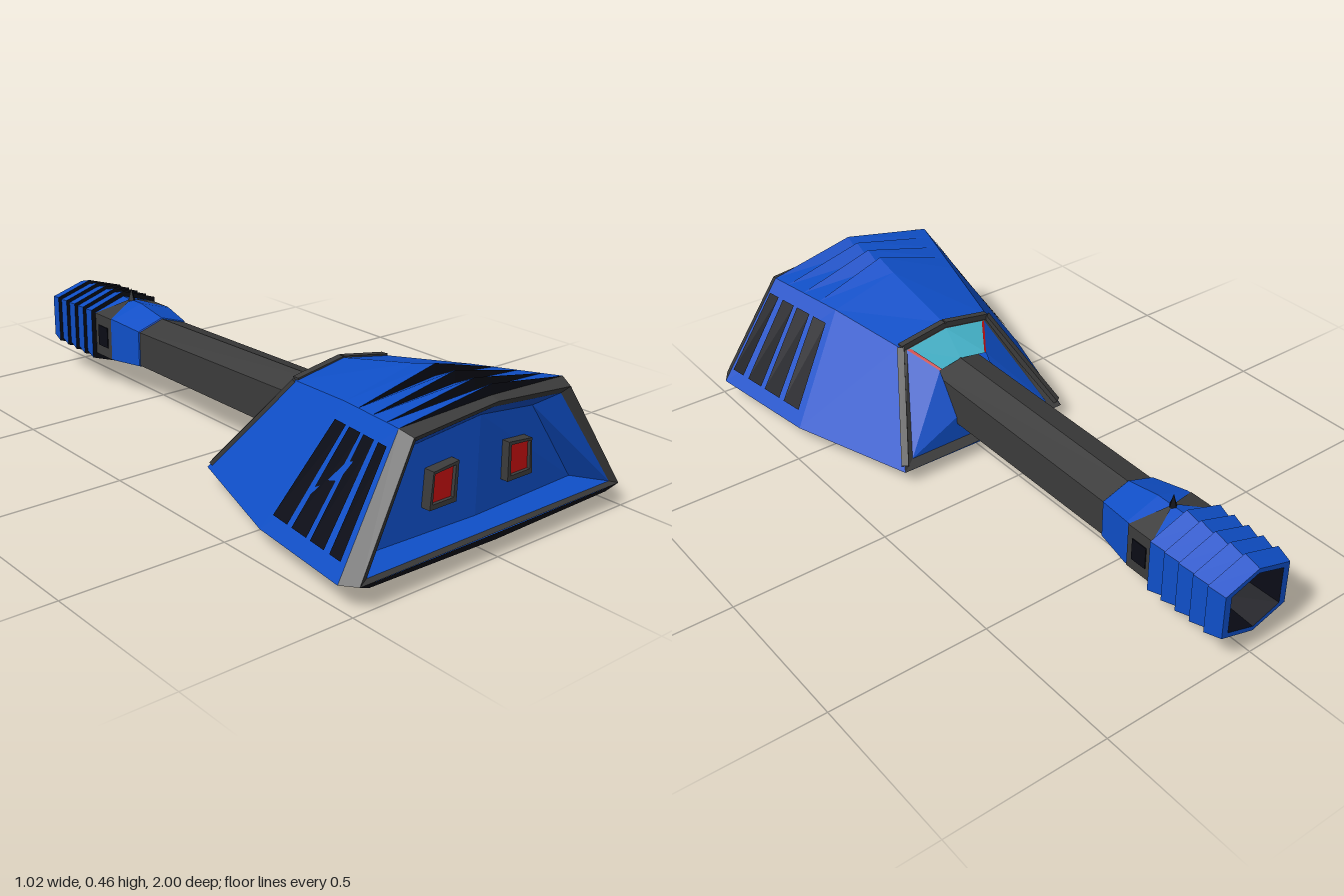
import * as THREE from 'three';

const mat = (color) => new THREE.MeshStandardMaterial({ color, flatShading: true, side: THREE.DoubleSide });
const BLUE = mat(0x0f4fc8), GREY = mat(0x3c3c3c), BLACK = mat(0x0a0c16), RED = mat(0xc81010), CYAN = mat(0x45b5cc);

const flip = ([x, y, z]) => [-x, y, z];
const lerp = (a, b, t) => a.map((v, i) => v + (b[i] - v) * t);

// mesh from a list of convex polygons
function panels(name, material, polys) {
  const pos = [];
  for (const p of polys)
    for (let i = 1; i < p.length - 1; i++) pos.push(...p[0], ...p[i], ...p[i + 1]);
  const g = new THREE.BufferGeometry();
  g.setAttribute('position', new THREE.Float32BufferAttribute(pos, 3));
  g.computeVertexNormals();
  const m = new THREE.Mesh(g, material);
  m.name = name;
  return m;
}
// polygons plus their mirror images across x = 0
const both = (polys) => [...polys, ...polys.map((p) => p.map(flip).reverse())];
// quads joining two closed loops
const band = (a, b) => a.map((p, i) => {
  const j = (i + 1) % a.length;
  return [p, a[j], b[j], b[i]];
});
// half outline (right bottom, right top, centre top) to a full loop
const loop = (h) => [h[0], h[1], h[2], flip(h[1]), flip(h[0])];
// upright hexagon section at z
function hex(z, w, bottom, top) {
  const c = (top + bottom) / 2, s = (top - bottom) * 0.33;
  return [[0, top, z], [-w, c + s, z], [-w, c - s, z], [0, bottom, z], [w, c - s, z], [w, c + s, z]];
}
const loft = (sections) => sections.slice(1).flatMap((s, i) => band(sections[i], s));

// square bar between two points
function bar(name, a, b, t) {
  const A = new THREE.Vector3(...a), B = new THREE.Vector3(...b);
  const m = new THREE.Mesh(new THREE.BoxGeometry(t, t, A.distanceTo(B)), GREY);
  m.position.copy(A).lerp(B, 0.5);
  m.lookAt(B);
  m.name = name;
  return m;
}

// shared corners of the head
const FB = [0.51, 0.07, 0.955], FT = [0.298, 0.405, 0.925];
const MB = [0.445, 0.052, 0.58], MT = [0.232, 0.38, 0.66];
const RB = [0.31, 0.05, 0.17], RT = [0.17, 0.345, 0.39];
const RC = [0, 0.375, 0.39];

function buildHead() {
  const head = new THREE.Group();
  head.name = 'head';

  // sides and floor
  head.add(panels('sidePanels', BLUE, both([[FB, MB, MT, FT], [MB, RB, RT, MT]])));
  const lip = [0.44, 0.055, 0.99], c = (z) => [0, 0.046, z];
  head.add(panels('floor', BLUE, both([
    [RB, MB, c(0.58), c(0.17)], [MB, FB, lip, c(0.99), c(0.58)],
  ])));

  // side vents
  const vents = [[0.04, 0.18], [0.25, 0.43], [0.48, 0.68], [0.74, 0.94]].map(([u0, u1]) => {
    const at = (u, v) => {
      const p = lerp(lerp(FB, MB, u), lerp(FT, MT, u), v);
      return [p[0] + 0.005, p[1] + 0.003, p[2] - 0.001];
    };
    return [at(u0, 0.13), at(u1, 0.13), at(u1, 0.87), at(u0, 0.87)];
  });
  head.add(panels('sideVents', BLACK, both(vents)));

  // roof: louvres peak at their front edge and end in the long rear slope
  const edge = (z) => (z > MT[2] ? lerp(MT, FT, (z - MT[2]) / (FT[2] - MT[2])) : lerp(RT, MT, (z - RT[2]) / (MT[2] - RT[2])));
  const peaks = [0.945, 0.888, 0.82, 0.75];
  const roof = [], steps = [];
  peaks.forEach((z, i) => {
    const e = edge(Math.min(z - 0.02, 0.925));
    const top = [0, 0.457, z], low = [0, 0.422, z];
    steps.push([e, top, low]);
    if (i < 3) {
      const zn = peaks[i + 1];
      roof.push([e, edge(zn - 0.02), [0, 0.422, zn], top]);
    } else {
      roof.push([e, MT, [0, 0.435, 0.67], top], [MT, RT, RC, [0, 0.435, 0.67]]);
    }
  });
  head.add(panels('roof', BLUE, both(roof)), panels('roofLouvreSteps', BLACK, both(steps)));

  // front rim, recess and face
  const outer = loop([FB, FT, [0, 0.43, 0.935]]);
  const front = loop([[0.48, 0.073, 1.0], [0.285, 0.39, 0.965], [0, 0.417, 0.97]]);
  const inner = loop([[0.45, 0.083, 0.99], [0.265, 0.372, 0.95], [0, 0.398, 0.955]]);
  const face = loop([[0.39, 0.085, 0.9], [0.215, 0.335, 0.9], [0, 0.365, 0.915]]);
  head.add(panels('frontRim', GREY, [...band(outer, front), ...band(front, inner)]));
  head.add(panels('faceRecess', BLUE, band(inner, face)));
  head.add(panels('face', BLUE, both([[face[0], face[1], face[2], [0, 0.085, 0.915]]])));
  head.add(panels('lowerLip', BLACK, both([[FB, front[0], lip], [front[0], [0, 0.071, 1], c(0.99), lip]])));

  // eyes in raised tapered frames
  const eye = (pts, z) => pts.map(([x, y]) => [x, y, z]);
  const base = [[0.095, 0.16], [0.19, 0.16], [0.181, 0.263], [0.092, 0.272]];
  const hole = [[0.106, 0.174], [0.18, 0.174], [0.176, 0.256], [0.102, 0.262]];
  const b0 = eye(base, 0.895), b1 = eye(base, 0.935), h1 = eye(hole, 0.935), h0 = eye(hole, 0.925);
  head.add(panels('eyeFrames', GREY, both([...band(b0, b1), ...band(b1, h1), ...band(h1, h0)])));
  head.add(panels('eyes', RED, both([h0])));

  // rear face bulging towards the neck, with a window above it
  const p1 = [0.265, 0.07, 0.195], p2 = [0.15, 0.335, 0.375], p3 = [0.09, 0.28, 0.285], p4 = [0.09, 0.15, 0.2];
  head.add(panels('rearPanels', BLUE, both([[p1, p4, p3], [p1, p3, p2], [p1, [0, 0.07, 0.195], [0, 0.15, 0.2], p4]])));
  head.add(panels('rearWindow', CYAN, both([[p2, p3, [0, 0.285, 0.3], [0, 0.36, 0.375]]])));
  const in2 = [0.138, 0.337, 0.371], in3 = [0.082, 0.284, 0.283];
  head.add(panels('windowEdges', RED, both([[p2, p3, in3, in2]])));
  head.add(panels('rearFrame', GREY, both([
    [RB, RT, p2, p1], [RT, RC, [0, 0.36, 0.375], p2], [RB, p1, [0, 0.07, 0.195], [0, 0.05, 0.17]],
  ])));
  for (const f of [(p) => p, flip]) {
    head.add(bar('rearEdgeTrim', f([0.3, 0.062, 0.185]), f([0.165, 0.342, 0.388]), 0.022));
    head.add(bar('roofEdgeTrim', f([0.165, 0.342, 0.388]), [0, 0.37, 0.388], 0.022));
  }

  // open nozzle under the floor
  const ring = (y, w, z0, z1) => [[-w, y, z1], [0, y, z1 + 0.012], [w, y, z1], [w, y, z0], [-w, y, z0]];
  const n0 = ring(0.06, 0.125, 0.345, 0.6), n1 = ring(0, 0.11, 0.36, 0.578);
  const n2 = ring(0, 0.1, 0.37, 0.568), n3 = ring(0.04, 0.085, 0.385, 0.55);
  head.add(panels('underNozzle', BLACK, [...loft([n0, n1, n2, n3]), n3]));
  return head;
}

function buildTail() {
  const tail = new THREE.Group();
  tail.name = 'tail';
  tail.add(panels('neck', GREY, loft([hex(0.36, 0.09, 0.095, 0.288), hex(-0.52, 0.09, 0.095, 0.268)])));

  // flared collar
  const mid = hex(-0.62, 0.113, 0.078, 0.293), end = hex(-0.73, 0.113, 0.078, 0.293);
  tail.add(panels('collar', BLUE, loft([hex(-0.495, 0.088, 0.097, 0.266), hex(-0.5, 0.093, 0.092, 0.272), mid, end])));

  // grey collar inlays, side ports and top spike
  const top = mid[5][1], low = mid[4][1], z0 = -0.63, z1 = -0.725, zc = -0.678;
  tail.add(panels('collarInlays', GREY, both([
    [[0.116, top, z0], [0.116, top, z1], [0, 0.297, zc]],
    [[0.116, low, z0], [0.116, low, z1], [0, 0.074, zc]],
    [[0.116, top, z0], [0.116, low, z0], [0.116, low, z1], [0.116, top, z1]],
  ])));
  for (const s of [-1, 1]) {
    const port = new THREE.Mesh(new THREE.BoxGeometry(0.01, 0.07, 0.055), BLACK);
    port.position.set(s * 0.114, 0.185, zc);
    port.name = 'sidePort';
    tail.add(port);
  }
  const spike = new THREE.Mesh(new THREE.ConeGeometry(0.018, 0.055, 4), BLACK);
  spike.position.set(0, 0.305, zc);
  spike.name = 'topSpike';
  tail.add(spike);

  // five tapered rings, each with a dark step at its front
  const n = 5, len = 0.27 / n;
  const rings = [], steps = [];
  for (let i = 0; i < n; i++) {
    const z = -0.73 - i * len, k = i * 0.002;
    const peak = hex(z, 0.129, 0.055 + k, 0.31 - k);
    rings.push(...band(peak, hex(z - len, 0.117, 0.068 + k, 0.295 - k)));
    steps.push(...band(hex(z, 0.105, 0.085, 0.283), peak));
  }
  tail.add(panels('tailRings', BLUE, rings), panels('tailRingSteps', BLACK, steps));

  // hollow tail end
  const mouth = hex(-1, 0.095, 0.09, 0.272), deep = hex(-0.85, 0.085, 0.1, 0.262);
  tail.add(panels('tailRim', BLUE, band(hex(-1, 0.117, 0.076, 0.287), mouth)));
  tail.add(panels('tailHollow', BLACK, [...band(mouth, deep), deep]));
  return tail;
}

export function createModel() {
  const model = new THREE.Group();
  model.name = 'model';
  model.add(buildHead(), buildTail());
  return model;
}
